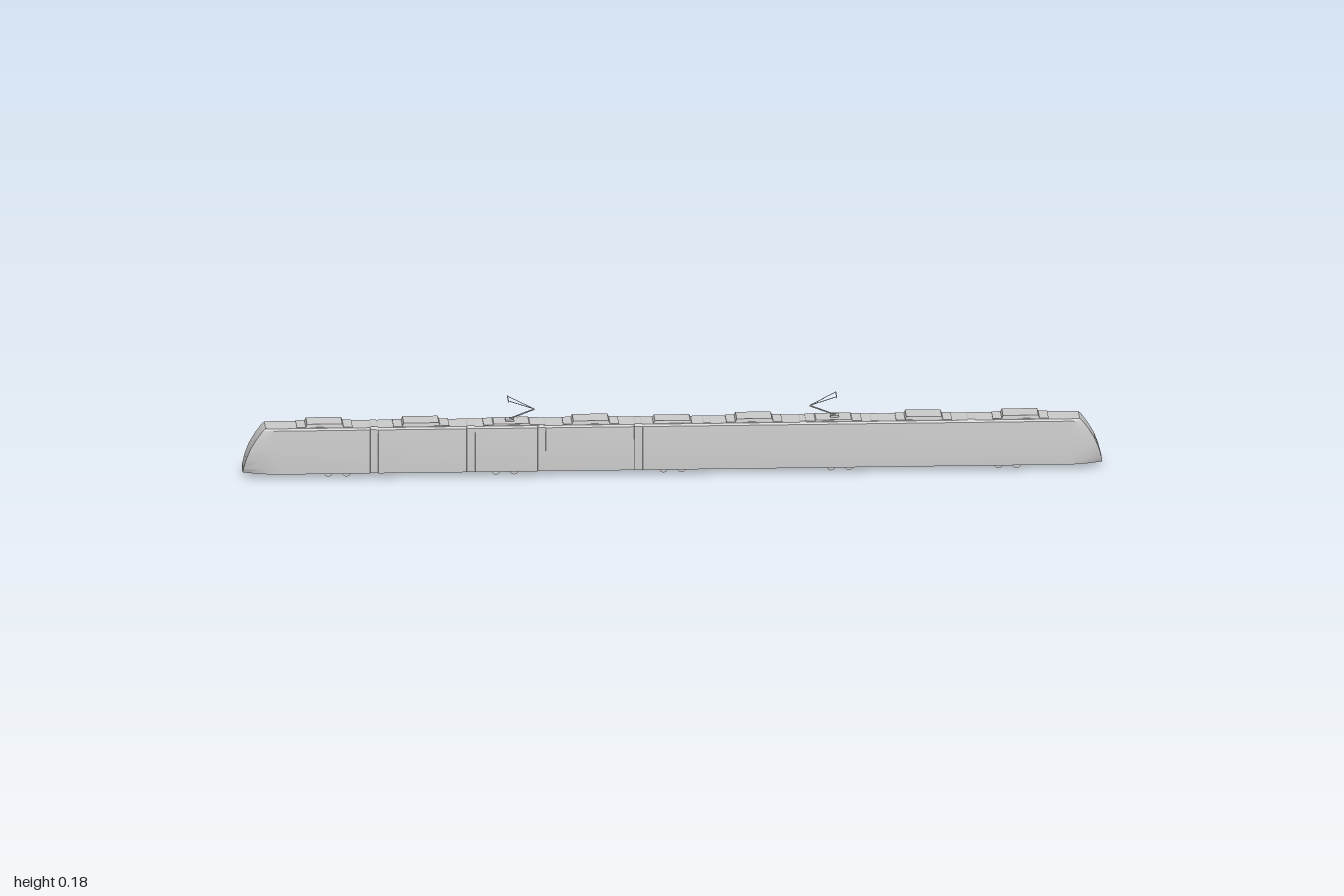
import * as THREE from 'three';
import { toCreasedNormals } from 'three/addons/utils/BufferGeometryUtils.js';

const mat = new THREE.MeshStandardMaterial({ color: 0xcccccc, side: THREE.DoubleSide });
const JOINTS = [0.695, 0.47, 0.305, 0.08]; // gangway positions, mirrored in x

function add(parent, name, geo, x = 0, y = 0, z = 0) {
  const m = new THREE.Mesh(geo, mat);
  m.name = name;
  m.position.set(x, y, z);
  parent.add(m);
  return m;
}

// Thin round bar between two points
function bar(parent, name, a, b, r = 0.0009) {
  const p = new THREE.Vector3(...a), q = new THREE.Vector3(...b);
  const m = add(parent, name, new THREE.CylinderGeometry(r, r, p.distanceTo(q), 6));
  m.position.copy(p).add(q).multiplyScalar(0.5);
  m.quaternion.setFromUnitVectors(new THREE.Vector3(0, 1, 0), q.sub(p).normalize());
}

// Body shell: horizontal outlines stacked from skirt to roof
function bodyGeometry() {
  // height, half width, nose reach, half width of the windscreen
  const layers = [
    [0.012, 0.045, 1.0, 0.02], [0.022, 0.045, 0.999, 0.026], [0.045, 0.0446, 0.993, 0.0325],
    [0.07, 0.0434, 0.983, 0.034], [0.095, 0.042, 0.968, 0.034], [0.115, 0.0405, 0.953, 0.034],
    [0.1195, 0.036, 0.947, 0.033],
  ];
  const outline = ([, w, reach, f]) => {
    const start = 0.925, mid = (start + reach) / 2, wm = f + (w - f) * 0.68;
    const side = [[-reach, f], [-mid, wm], [-start, w]];
    for (const j of JOINTS) {
      side.push([-j - 0.01, w], [-j - 0.009, w - 0.004], [-j, w - 0.003], [-j + 0.009, w - 0.001], [-j + 0.01, w]);
    }
    side.push([start, w], [mid, wm], [reach, f], [reach + 0.0005, 0]);
    // the other side is the same outline turned half way round
    return [...side, ...side.map(([x, z]) => [-x, -z])];
  };
  const pos = [], idx = [];
  const rings = layers.map(outline);
  const n = rings[0].length;
  rings.forEach((ring, k) => ring.forEach(([x, z]) => pos.push(x, layers[k][0], z)));
  for (let k = 0; k < layers.length - 1; k++) {
    for (let i = 0; i < n; i++) {
      const a = k * n + i, b = k * n + (i + 1) % n;
      idx.push(a, b, b + n, a, b + n, a + n);
    }
  }
  // floor and roof
  const cap = (k, up) => {
    const pts = rings[k].map(([x, z]) => new THREE.Vector2(x, -z));
    for (const [a, b, c] of THREE.ShapeUtils.triangulateShape(pts, [])) {
      const o = k * n;
      if (up) idx.push(o + a, o + b, o + c);
      else idx.push(o + a, o + c, o + b);
    }
  };
  cap(0, false);
  cap(layers.length - 1, true);
  const g = new THREE.BufferGeometry();
  g.setAttribute('position', new THREE.Float32BufferAttribute(pos, 3));
  g.setIndex(idx);
  return toCreasedNormals(g, 0.4);
}

// Box whose top is drawn in to give sloping sides
function housing(l, h, w, inset) {
  const g = new THREE.BoxGeometry(l, h, w), p = g.attributes.position;
  for (let i = 0; i < p.count; i++) {
    if (p.getY(i) > 0) {
      p.setX(i, p.getX(i) - Math.sign(p.getX(i)) * inset);
      p.setZ(i, p.getZ(i) - Math.sign(p.getZ(i)) * inset * 0.4);
    }
  }
  return toCreasedNormals(g, 0.2);
}

// Current collector: folded arm with its knee towards +x
function pantograph() {
  const g = new THREE.Group();
  g.name = 'pantograph';
  const knee = [0.032, 0.15, 0], head = 0.176;
  add(g, 'pantographBase', new THREE.BoxGeometry(0.02, 0.004, 0.024), -0.026, 0.126, 0);
  bar(g, 'lowerArm', [-0.028, 0.127, 0], knee, 0.0018);
  for (const s of [-1, 1]) {
    bar(g, 'upperArm', knee, [-0.03, head, s * 0.022]);
    bar(g, 'headHorn', [-0.03, head, s * 0.022], [-0.03, head - 0.002, s * 0.028], 0.0011);
  }
  bar(g, 'armBrace', [0.013, 0.158, -0.007], [0.013, 0.158, 0.007]);
  bar(g, 'contactStrip', [-0.03, head, -0.023], [-0.03, head, 0.023], 0.0013);
  return g;
}

export function createModel() {
  const tram = new THREE.Group();
  tram.name = 'tram';
  add(tram, 'body', bodyGeometry());

  // roof strips over the gangways
  for (const j of JOINTS) for (const s of [-1, 1]) {
    add(tram, 'gangwayRoof', housing(0.02, 0.002, 0.068, 0.003), s * j, 0.12, 0);
  }

  // roof housings: centre, length, height
  const units = [[0.81, 0.09, 0.009], [0.585, 0.09, 0.009], [0.375, 0.09, 0.004], [0.19, 0.09, 0.009]];
  for (const s of [-1, 1]) for (const [x, l, h] of units) {
    add(tram, 'roofPlate', new THREE.BoxGeometry(l + 0.04, 0.002, 0.068), s * x, 0.1205, 0);
    add(tram, 'roofHousing', housing(l, h, 0.067, 0.004), s * x, 0.1195 + h / 2, 0);
  }
  add(tram, 'roofHousing', housing(0.09, 0.006, 0.06, 0.004), 0, 0.1225, 0);

  // pantographs, knees facing the middle
  for (const s of [-1, 1]) {
    const p = pantograph();
    p.position.x = s * 0.352;
    if (s > 0) p.rotation.y = Math.PI;
    tram.add(p);
  }

  // bogies: two axles each, wheels barely showing below the skirt
  const wheel = new THREE.CylinderGeometry(0.01, 0.01, 0.003, 16).rotateX(Math.PI / 2);
  for (const b of [-0.78, -0.39, 0, 0.39, 0.78]) for (const a of [-0.021, 0.021]) {
    for (const z of [-0.023, 0.023]) add(tram, 'wheel', wheel, b + a, 0.01, z);
    bar(tram, 'axle', [b + a, 0.01, -0.023], [b + a, 0.01, 0.023], 0.002);
  }
  return tram;
}
